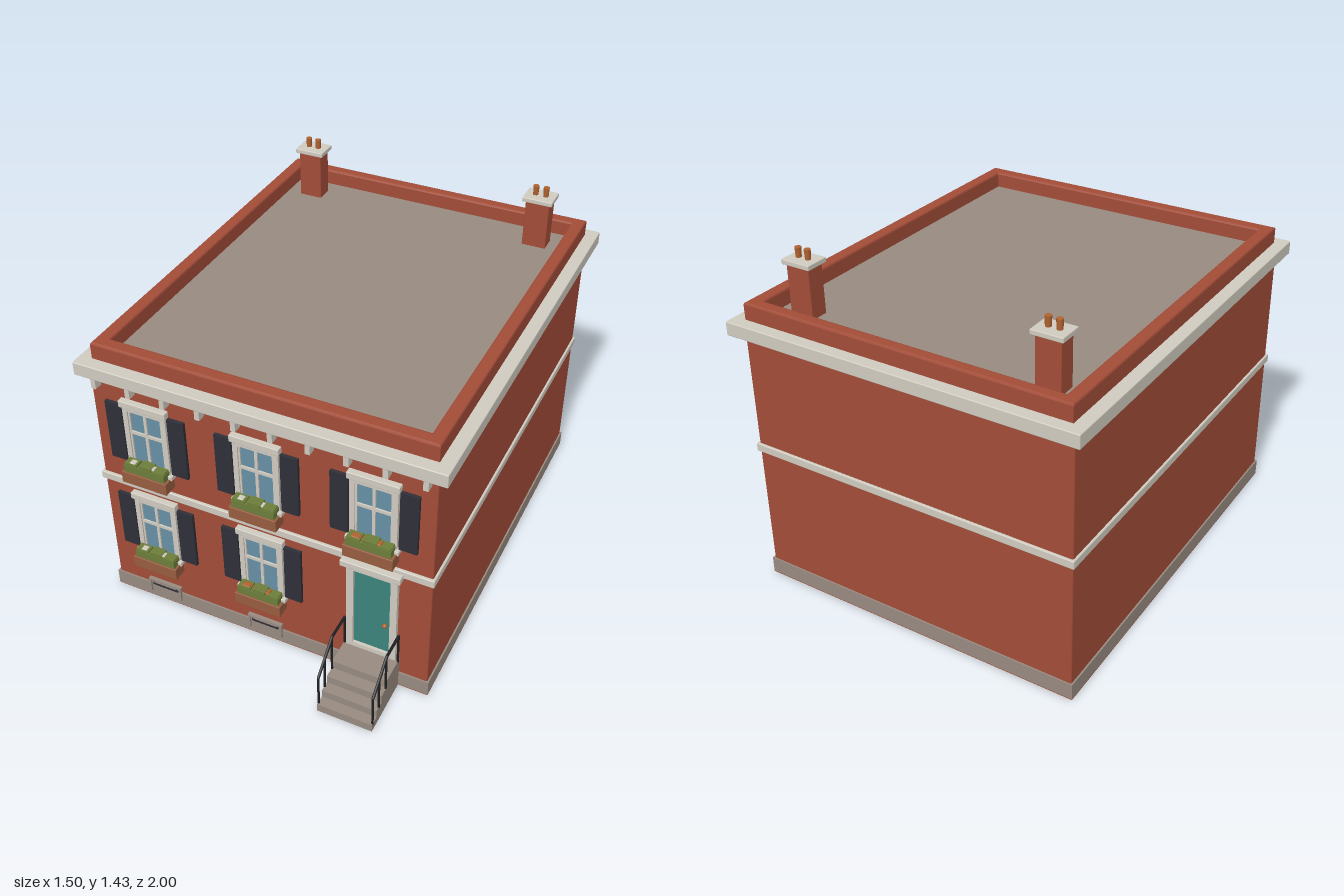
import * as THREE from 'three';
import { RoundedBoxGeometry } from 'three/addons/geometries/RoundedBoxGeometry.js';

const mat = (name, color) => new THREE.MeshStandardMaterial({ name, color });
const brick = mat('brick', 0xa24c37), trim = mat('pale trim', 0xd0cbc0), stone = mat('grey stone', 0x978a80);
const shutterPaint = mat('dark slate', 0x2f2f38), glass = mat('window glass', 0x668fa4);
const doorPaint = mat('teal', 0x3c837b), wood = mat('planter wood', 0x965c3f), leaf = mat('leaf green', 0x6b7d3a);
const clay = mat('clay orange', 0xb0622f), iron = mat('black iron', 0x202024);

const FRONT = 0.742; // front wall plane

function add(parent, name, geometry, material, x = 0, y = 0, z = 0) {
  const mesh = new THREE.Mesh(geometry, material);
  mesh.name = name;
  mesh.position.set(x, y, z);
  parent.add(mesh);
  return mesh;
}

// Box given by its extents on each axis; r rounds its edges
function box(parent, name, material, [x0, x1], [y0, y1], [z0, z1], r = 0) {
  const s = [x1 - x0, y1 - y0, z1 - z0];
  const geometry = r ? new RoundedBoxGeometry(...s, 2, r) : new THREE.BoxGeometry(...s);
  return add(parent, name, geometry, material, (x0 + x1) / 2, (y0 + y1) / 2, (z0 + z1) / 2);
}

function group(parent, name, x = 0, y = 0, z = 0) {
  const g = new THREE.Group();
  g.name = name;
  g.position.set(x, y, z);
  parent.add(g);
  return g;
}

// Round bar between two points
function bar(parent, name, a, b, radius) {
  const p = new THREE.Vector3(...a), q = new THREE.Vector3(...b);
  const mesh = add(parent, name, new THREE.CylinderGeometry(radius, radius, p.distanceTo(q), 8), iron);
  mesh.position.copy(p).lerp(q, 0.5);
  mesh.quaternion.setFromUnitVectors(new THREE.Vector3(0, 1, 0), q.sub(p).normalize());
}

function rectangle(path, x, z0, z1) {
  path.moveTo(-x, -z1).lineTo(x, -z1).lineTo(x, -z0).lineTo(-x, -z0).closePath();
  return path;
}

// Parapet ring with softened edges
function parapetGeometry() {
  const shape = rectangle(new THREE.Shape(), 0.696, -0.95, 0.728);
  shape.holes.push(rectangle(new THREE.Path(), 0.643, -0.9, 0.672));
  const bevel = 0.008;
  const geometry = new THREE.ExtrudeGeometry(shape, {
    depth: 0.09 - 2 * bevel, bevelSize: bevel, bevelThickness: bevel, bevelOffset: -bevel, bevelSegments: 2,
  });
  return geometry.rotateX(-Math.PI / 2).translate(0, 1.147 + bevel, 0);
}

// Window with lintel, shutters and planter; y = 0 is the top of the sill
function buildWindow(parent, x, y, flowers) {
  const w = group(parent, 'window', x, y, FRONT);
  box(w, 'glass', glass, [-0.08, 0.08], [0, 0.26], [-0.01, 0.004]);
  for (const s of [-1, 1]) {
    box(w, 'frameSide', trim, [s * 0.0835 - 0.0105, s * 0.0835 + 0.0105], [0, 0.27], [-0.01, 0.016]);
    box(w, 'shutter', shutterPaint, [s * 0.136 - 0.036, s * 0.136 + 0.036], [0, 0.27], [-0.01, 0.014]);
    box(w, 'sashSide', trim, [s * 0.07 - 0.004, s * 0.07 + 0.004], [0, 0.26], [-0.01, 0.01]);
  }
  box(w, 'frameTop', trim, [-0.094, 0.094], [0.252, 0.272], [-0.01, 0.016]);
  box(w, 'lintel', trim, [-0.102, 0.102], [0.27, 0.3], [-0.01, 0.026], 0.003);
  box(w, 'mullion', trim, [-0.006, 0.006], [0, 0.26], [-0.01, 0.011]);
  box(w, 'glazingBar', trim, [-0.075, 0.075], [0.144, 0.157], [-0.01, 0.011]);
  box(w, 'sill', trim, [-0.107, 0.107], [-0.02, 0], [-0.01, 0.03], 0.003);
  box(w, 'planter', wood, [-0.1, 0.1], [-0.068, -0.014], [0.002, 0.064], 0.002);
  // Foliage in uneven blocks, with small blossoms
  box(w, 'foliage', leaf, [-0.09, 0.09], [-0.016, 0.018], [0.012, 0.058]);
  [[-0.06, 0.026], [0.005, 0.032], [0.06, 0.024]].forEach(([fx, top]) =>
    box(w, 'leafTuft', leaf, [fx - 0.027, fx + 0.027], [0.01, top], [0.016, 0.056]));
  const wide = flowers === clay ? 0.017 : 0.012;
  [-0.055, -0.012, 0.03].forEach((fx) =>
    box(w, 'blossom', flowers, [fx - wide, fx + wide], [0.014, 0.029], [0.025, 0.05], 0.003));
}

function buildDoor(parent) {
  const d = group(parent, 'doorway', 0.47, 0, FRONT);
  box(d, 'door', doorPaint, [-0.08, 0.08], [0.16, 0.56], [-0.01, 0.006]);
  for (const s of [-1, 1])
    box(d, 'doorJamb', trim, [s * 0.09 - 0.014, s * 0.09 + 0.014], [0.147, 0.585], [-0.01, 0.018]);
  box(d, 'doorHead', trim, [-0.104, 0.104], [0.556, 0.585], [-0.01, 0.018]);
  box(d, 'threshold', trim, [-0.104, 0.104], [0.145, 0.167], [-0.01, 0.018]);
  box(d, 'doorHood', trim, [-0.122, 0.122], [0.583, 0.612], [-0.01, 0.04], 0.003);
  add(d, 'doorKnob', new THREE.SphereGeometry(0.01, 12, 8), clay, 0.055, 0.313, 0.013);
}

// Solid steps drawn from the side, and a railing along each edge
function buildSteps(parent) {
  const steps = group(parent, 'entranceSteps');
  const treads = [[0.865, 0.146], [0.912, 0.108], [0.956, 0.072], [0.998, 0.037]];
  treads.forEach(([z, y]) => box(steps, 'step', stone, [0.356, 0.586], [0, y], [0.73, z]));
  for (const x of [0.358, 0.584]) {
    const rail = group(steps, 'railing');
    const points = [[x, 0.178, 0.988], [x, 0.286, 0.866], [x, 0.286, 0.755]];
    bar(rail, 'slopingRail', points[0], points[1], 0.006);
    bar(rail, 'levelRail', points[1], points[2], 0.006);
    add(rail, 'railBend', new THREE.SphereGeometry(0.006, 8, 6), iron, ...points[1]);
    [[0.988, 0.03, 0.178], [0.933, 0.07, 0.227], [0.87, 0.11, 0.283], [0.756, 0.14, 0.286]].forEach(([z, y0, y1]) =>
      bar(rail, 'railPost', [x, y0, z], [x, y1, z], 0.005));
  }
}

function buildVent(parent, x) {
  const v = group(parent, 'basementVent', x, 0, FRONT);
  box(v, 'ventTop', stone, [-0.077, 0.077], [0.09, 0.102], [-0.01, 0.016]);
  for (const s of [-1, 1])
    box(v, 'ventSide', stone, [s * 0.072 - 0.005, s * 0.072 + 0.005], [0.03, 0.1], [-0.01, 0.016]);
  box(v, 'ventBack', stone, [-0.07, 0.07], [0.03, 0.092], [-0.01, 0.008]);
  box(v, 'ventSlot', shutterPaint, [-0.06, 0.06], [0.068, 0.088], [-0.01, 0.011]);
  box(v, 'ventSlat', stone, [-0.052, 0.052], [0.083, 0.086], [-0.01, 0.014]);
}

function buildChimney(parent, x) {
  const c = group(parent, 'chimney', x, 0, -0.793);
  box(c, 'chimneyStack', brick, [-0.051, 0.051], [1.15, 1.376], [-0.038, 0.038], 0.003);
  box(c, 'chimneyCap', trim, [-0.064, 0.064], [1.374, 1.394], [-0.05, 0.05], 0.003);
  for (const s of [-1, 1])
    add(c, 'chimneyPot', new THREE.CylinderGeometry(0.013, 0.011, 0.046, 12), clay, s * 0.022, 1.411, 0);
}

export function createModel() {
  const house = new THREE.Group();
  house.name = 'townHouse';

  // Main block and its horizontal bands
  box(house, 'walls', brick, [-0.704, 0.704], [0, 1.14], [-0.952, FRONT], 0.006);
  box(house, 'plinth', stone, [-0.711, 0.711], [0.002, 0.07], [-0.958, 0.749]);
  box(house, 'underside', brick, [-0.711, 0.711], [0, 0.003], [-0.958, 0.749]);
  box(house, 'stringCourse', trim, [-0.713, 0.713], [0.595, 0.63], [-0.962, 0.754], 0.004);
  box(house, 'cornice', trim, [-0.749, 0.749], [1.11, 1.167], [-1, 0.781], 0.004);
  add(house, 'parapet', parapetGeometry(), brick);
  box(house, 'roof', stone, [-0.65, 0.65], [1.15, 1.17], [-0.91, 0.68]);

  // Brackets beneath the cornice
  for (let i = 0; i < 10; i++) {
    const x = -0.669 + i * 0.1487;
    box(house, 'corniceBracket', trim, [x - 0.01, x + 0.01], [1.067, 1.115], [0.735, 0.777]);
  }

  const columns = [-0.473, 0, 0.47];
  columns.forEach((x, i) => buildWindow(house, x, 0.735, i === 2 ? clay : trim));
  columns.slice(0, 2).forEach((x, i) => {
    buildWindow(house, x, 0.277, i === 1 ? clay : trim);
    buildVent(house, x);
  });
  buildDoor(house);
  buildSteps(house);
  for (const x of [-0.53, 0.526]) buildChimney(house, x);
  return house;
}
